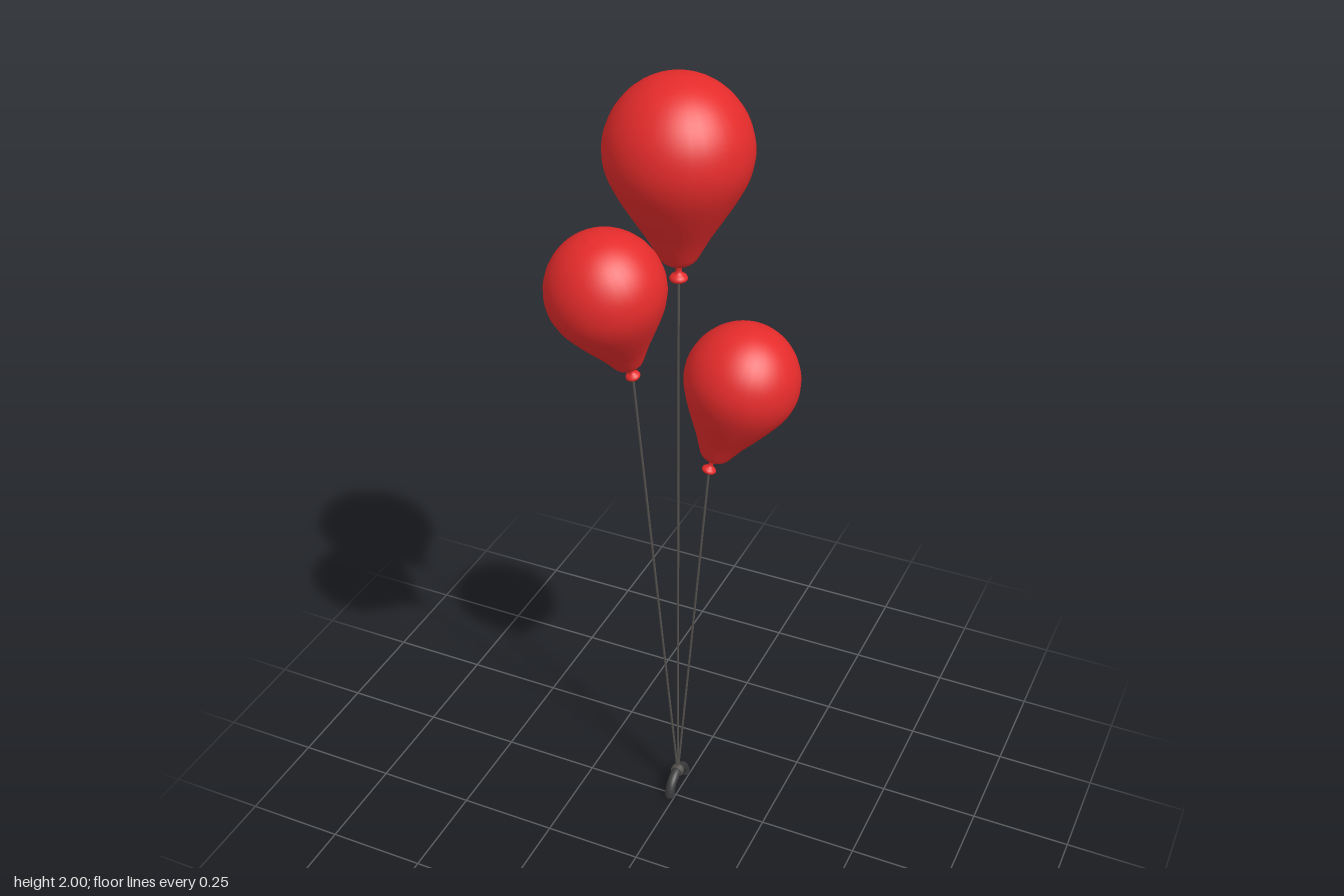
import * as THREE from 'three';

const red = new THREE.MeshStandardMaterial({ color: 0xe52b2b });
const dark = new THREE.MeshStandardMaterial({ color: 0x3a3a3c });
const cord = new THREE.MeshStandardMaterial({ color: 0x55524e });
const V = (x, y, z) => new THREE.Vector3(x, y, z);
const UP = V(0, 1, 0);

function add(parent, name, geometry, material) {
  const mesh = new THREE.Mesh(geometry, material);
  mesh.name = name;
  parent.add(mesh);
  return mesh;
}

function lathe(points, steps) {
  const curve = new THREE.SplineCurve(points.map(([r, y]) => new THREE.Vector2(r, y)));
  const profile = curve.getPoints(steps);
  profile.forEach((p) => { p.x = Math.max(p.x, 0); });
  return new THREE.LatheGeometry(profile, 32);
}

// Teardrop body and flared knot; origin at the knot, widest level at y = 0.295
const bodyGeometry = lathe([
  [0, 0.033], [0.022, 0.035], [0.04, 0.047], [0.053, 0.069], [0.074, 0.107], [0.104, 0.155],
  [0.134, 0.205], [0.156, 0.252], [0.165, 0.3], [0.157, 0.353], [0.133, 0.4],
  [0.096, 0.438], [0.05, 0.462], [0, 0.47],
], 48);
const knotGeometry = lathe([
  [0, -0.008], [0.014, -0.009], [0.021, -0.003], [0.018, 0.005], [0.009, 0.012], [0.007, 0.022], [0.012, 0.038],
], 20);

function cylinderBetween(a, b, radius) {
  const dir = b.clone().sub(a);
  const g = new THREE.CylinderGeometry(radius, radius, dir.length(), 8);
  g.applyQuaternion(new THREE.Quaternion().setFromUnitVectors(UP, dir.normalize()));
  const mid = a.clone().add(b).multiplyScalar(0.5);
  return g.translate(mid.x, mid.y, mid.z);
}

export function createModel() {
  const model = new THREE.Group();
  model.name = 'balloonBunch';
  const tie = V(-0.014, 0.04, -0.043);

  // Each balloon: knot position, leaning axis and scale
  const balloons = [
    ['tallBalloon', V(-0.014, 1.53, -0.045), V(0, 1, 0), 1],
    ['rightBalloon', V(-0.088, 1.307, 0.043), V(-0.033, 0.238, 0.06), 0.825],
    ['leftBalloon', V(0.058, 1.027, -0.062), V(0.06, 0.231, -0.041), 0.825],
  ];
  for (const [name, knot, axis, scale] of balloons) {
    const balloon = new THREE.Group();
    balloon.name = name;
    balloon.position.copy(knot);
    balloon.quaternion.setFromUnitVectors(UP, axis.normalize());
    balloon.scale.setScalar(scale);
    add(balloon, 'balloonBody', bodyGeometry, red);
    add(balloon, 'balloonKnot', knotGeometry, red);
    model.add(balloon);
    add(model, name + 'String', cylinderBetween(tie, knot, 0.003), cord);
  }

  // Half-ring handle standing on its two ends
  const handle = new THREE.Group();
  handle.name = 'handle';
  handle.position.set(-0.014, 0, -0.04);
  handle.rotation.y = Math.PI / 2;
  add(handle, 'handleArch', new THREE.TorusGeometry(0.049, 0.013, 12, 24, Math.PI), dark);
  for (const side of [-1, 1]) {
    const cap = add(handle, 'handleEnd', new THREE.CircleGeometry(0.013, 12), dark);
    cap.position.x = side * 0.049;
    cap.rotation.x = Math.PI / 2;
  }
  model.add(handle);

  // Cord wrapped round the top of the handle, with a short tail below
  for (const dz of [-0.005, 0, 0.005]) {
    const wrap = add(model, 'stringWrap', new THREE.TorusGeometry(0.014, 0.003, 8, 20), cord);
    wrap.position.set(-0.014, 0.049, -0.041 + dz);
  }
  add(model, 'stringTail', cylinderBetween(V(-0.014, 0.015, -0.045), tie, 0.003), cord);
  return model;
}
